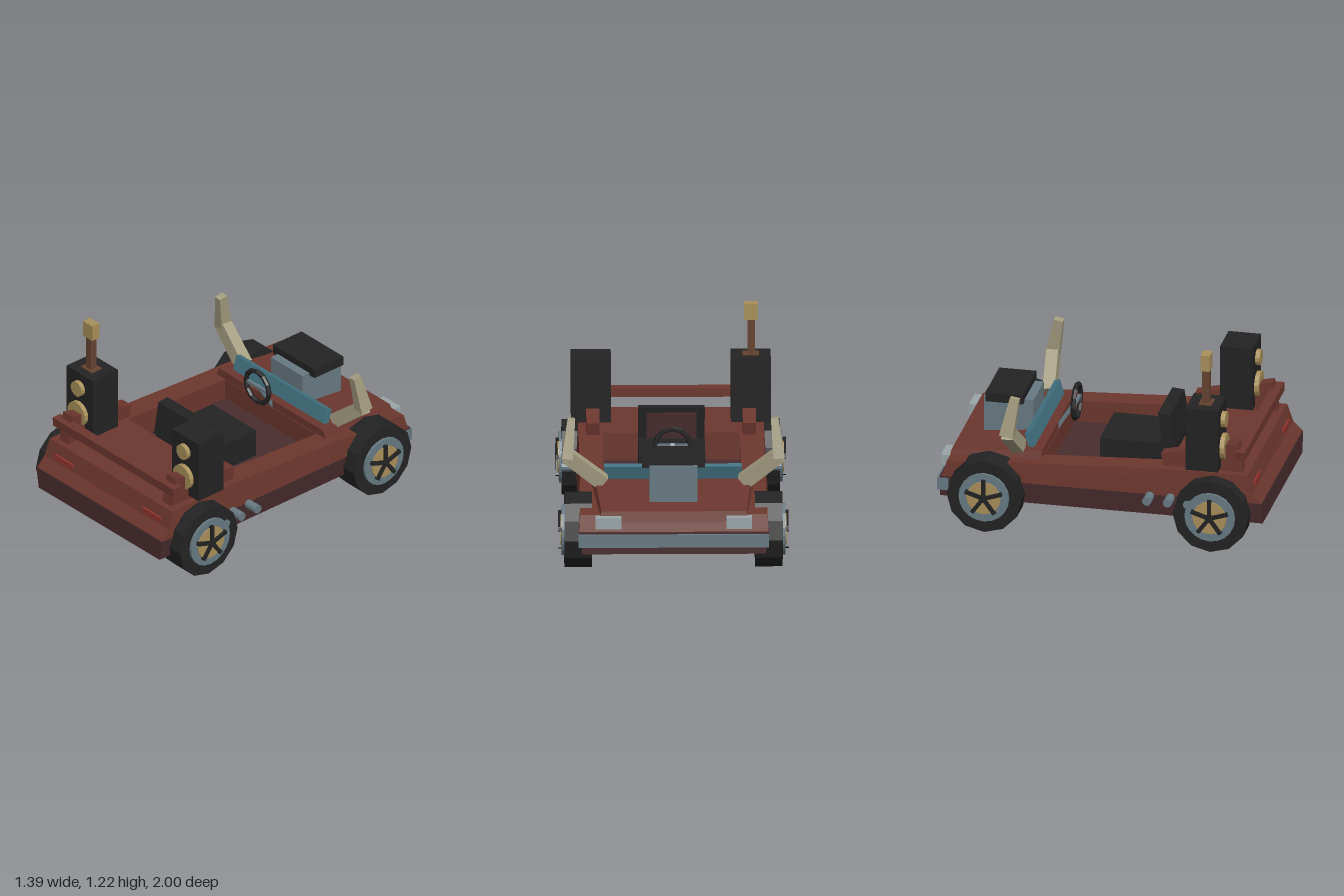
import * as THREE from 'three';

const mat = (name, color, flat = true) => {
  const m = new THREE.MeshStandardMaterial({ color });
  m.name = name;
  m.flatShading = flat;
  return m;
};

export function createModel() {
  const car = new THREE.Group();
  car.name = 'buggy';
  const body = mat('rust red body', 0x6c372e);
  const under = mat('dark maroon', 0x4a2d2f);
  const black = mat('black rubber', 0x232323);
  const steel = mat('blue grey steel', 0x687a82);
  const gold = mat('brass', 0xa8905a);
  const teal = mat('teal glass', 0x437382);
  const bone = mat('bone', 0xa39c80);
  const red = mat('tail lamp red', 0x97342d);
  const pale = mat('headlamp grey', 0x9aa5a8);
  const wood = mat('brown wood', 0x654331);

  const add = (name, geo, m, parent = car) => {
    const mesh = new THREE.Mesh(geo, m);
    mesh.name = name;
    parent.add(mesh);
    return mesh;
  };
  // Axis-aligned box given by its limits
  const box = (name, m, x0, x1, y0, y1, z0, z1, parent) => {
    const g = new THREE.BoxGeometry(x1 - x0, y1 - y0, z1 - z0);
    g.translate((x0 + x1) / 2, (y0 + y1) / 2, (z0 + z1) / 2);
    return add(name, g, m, parent);
  };
  // Box whose eight corners are placed by a rule of the corner signs
  const block = (name, m, rule) => {
    const g = new THREE.BoxGeometry(2, 2, 2);
    const p = g.attributes.position;
    for (let i = 0; i < p.count; i++) p.setXYZ(i, ...rule(p.getX(i), p.getY(i), p.getZ(i)));
    g.computeVertexNormals();
    return add(name, g, m);
  };
  // Side profile of [z, y] points extruded across x; higher points may be narrower
  const prism = (name, m, pts, width, cx = 0, taper = 0) => {
    const s = new THREE.Shape(pts.map(([z, y]) => new THREE.Vector2(z, y)));
    const g = new THREE.ExtrudeGeometry(s, { depth: width, bevelEnabled: false });
    g.translate(0, 0, -width / 2);
    g.rotateY(-Math.PI / 2);
    const p = g.attributes.position;
    for (let i = 0; i < p.count; i++) p.setX(i, p.getX(i) * (1 - taper * (p.getY(i) - 0.3)) + cx);
    g.computeVertexNormals();
    return add(name, g, m);
  };
  // Square beam between two points
  const beam = (name, m, a, b, w0, w1, depth, parent = car) => {
    const va = new THREE.Vector3(...a), vb = new THREE.Vector3(...b);
    const dir = vb.clone().sub(va);
    const g = new THREE.CylinderGeometry(w1 * Math.SQRT1_2, w0 * Math.SQRT1_2, dir.length(), 4);
    g.rotateY(Math.PI / 4);
    g.scale(1, 1, depth);
    const mesh = add(name, g, m, parent);
    mesh.position.copy(va).add(vb).multiplyScalar(0.5);
    mesh.quaternion.setFromUnitVectors(new THREE.Vector3(0, 1, 0), dir.normalize());
    return mesh;
  };
  const discX = (name, m, r, x0, x1, sides, parent) => {
    const g = new THREE.CylinderGeometry(r, r, x1 - x0, sides);
    g.rotateZ(-Math.PI / 2);
    g.rotateX(Math.PI / 2);
    g.translate((x0 + x1) / 2, 0, 0);
    return add(name, g, m, parent);
  };

  // Chassis slab, also the cockpit floor
  block('chassis', under, (x, y, z) => [x * (y > 0 ? 0.572 : 0.55), y > 0 ? 0.305 : 0.17, z > 0 ? 1 : -0.985]);

  // Rear deck and nose
  prism('rearDeck', body, [[0.41, 0.3], [1, 0.3], [0.94, 0.365], [0.905, 0.475], [0.41, 0.475]], 1.14, 0, 0.12);
  prism('nose', body, [[-0.37, 0.435], [-0.94, 0.405], [-0.97, 0.3], [-0.37, 0.3]], 1.14, 0, 0.12);
  // Raised bonnet narrowing to the front
  block('bonnet', body, (x, y, z) => z > 0
    ? [x * (y > 0 ? 0.475 : 0.505), y > 0 ? 0.485 : 0.4, -0.375]
    : [x * (y > 0 ? 0.435 : 0.455), y > 0 ? 0.425 : 0.36, y > 0 ? -0.94 : -0.955]);

  for (const s of [1, -1]) {
    const side = s > 0 ? 'left' : 'right';
    const sx = (a, b) => (s > 0 ? [a, b] : [-b, -a]);

    // Cockpit sill
    block(side + 'Sill', body, (x, y, z) => [
      s * (x === s ? (y > 0 ? 0.557 : 0.57) : 0.412),
      y < 0 ? 0.3 : z > 0 ? 0.475 : 0.435,
      z > 0 ? 0.42 : -0.38]);

    // Sloping spoiler support
    prism(side + 'SpoilerSupport', body,
      [[0.38, 0.47], [0.87, 0.47], [0.84, 0.66], [0.365, 0.55]], 0.08, s * 0.47);

    // Lamps
    box(side + 'TailLamp', red, ...sx(0.32, 0.48), 0.342, 0.41, 0.88, 0.937);
    box(side + 'Headlamp', pale, ...sx(0.315, 0.47), 0.33, 0.4, -0.998, -0.93);

    // Loudspeaker with two cones
    box(side + 'Speaker', black, ...sx(0.36, 0.6), 0.5, 0.9, 0.535, 0.735);
    for (const [y, r] of [[0.8, 0.05], [0.625, 0.08]]) {
      const g = new THREE.CylinderGeometry(r, r, 0.03, 14);
      g.rotateX(Math.PI / 2);
      add(side + 'SpeakerCone', g, gold).position.set(s * 0.48, y, 0.748);
    }

    // Exhaust stubs
    for (const z of [0.31, 0.437, 0.56]) {
      const pipe = discX(side + 'Exhaust', steel, 0.028, -0.08, 0.08, 10);
      pipe.position.set(s * 0.58, 0.295, z);
    }

    // Bent horn on the bonnet
    beam(side + 'HornBase', bone, [s * 0.42, 0.475, -0.525], [s * 0.64, 0.655, -0.55], 0.09, 0.085, 0.85);
    beam(side + 'HornTip', bone, [s * 0.637, 0.635, -0.555], [s * 0.61, 0.875, -0.51], 0.068, 0.045, 1.25);

    // Wheels
    for (const z of [0.7, -0.69]) {
      const wheel = new THREE.Group();
      wheel.name = (z > 0 ? 'rear' : 'front') + (s > 0 ? 'Left' : 'Right') + 'Wheel';
      wheel.position.set(s * 0.49, 0.231, z);
      if (s < 0) wheel.rotation.y = Math.PI;
      discX('tire', black, 0.231, 0, 0.165, 12, wheel);
      discX('rim', steel, 0.155, 0.1, 0.182, 20, wheel);
      discX('hubDisc', gold, 0.105, 0.1, 0.189, 16, wheel);
      discX('hub', black, 0.025, 0.15, 0.203, 10, wheel);
      for (let i = 0; i < 5; i++) {
        const spoke = box('spoke', black, 0.17, 0.203, 0, 0.118, -0.012, 0.012, wheel);
        spoke.rotation.x = (i * Math.PI * 2) / 5;
      }
      car.add(wheel);
    }
  }

  // Spoiler rail and front bumper
  block('spoilerRail', body, (x, y, z) => [x * (y > 0 ? 0.55 : 0.543), y > 0 ? 0.62 : 0.565, z > 0 ? 0.89 : 0.825]);
  box('bumper', steel, -0.572, 0.572, 0.215, 0.295, -1, -0.93);

  // Engine with air intake
  box('engine', steel, -0.145, 0.145, 0.42, 0.665, -0.805, -0.5);
  box('airIntake', black, -0.19, 0.19, 0.65, 0.71, -0.785, -0.555);

  // Low windscreen leaning forward
  prism('windscreen', teal, [[-0.432, 0.47], [-0.462, 0.57], [-0.495, 0.56], [-0.465, 0.46]], 0.83);

  // Seat
  box('seatCushion', black, -0.2, 0.2, 0.3, 0.48, -0.08, 0.37);
  prism('seatBack', black, [[0.3, 0.465], [0.385, 0.465], [0.352, 0.67], [0.278, 0.677]], 0.4);
  prism('seatPad', under, [[0.284, 0.48], [0.31, 0.48], [0.3, 0.645], [0.266, 0.645]], 0.3);

  // Steering wheel, spokes and column
  add('steeringWheel', new THREE.TorusGeometry(0.105, 0.016, 6, 12), black).position.set(0, 0.62, -0.266);
  box('steeringSpoke', steel, -0.1, 0.1, 0.61, 0.63, -0.275, -0.258);
  beam('steeringColumn', steel, [0, 0.63, -0.265], [0, 0.44, -0.385], 0.024, 0.024, 1);

  // Smoke stack on the right speaker
  box('stackFoot', wood, -0.53, -0.43, 0.895, 0.906, 0.6, 0.68);
  box('stackPost', wood, -0.505, -0.46, 0.9, 1.13, 0.618, 0.662);
  box('stackCap', gold, -0.525, -0.44, 1.12, 1.222, 0.612, 0.668);

  return car;
}
